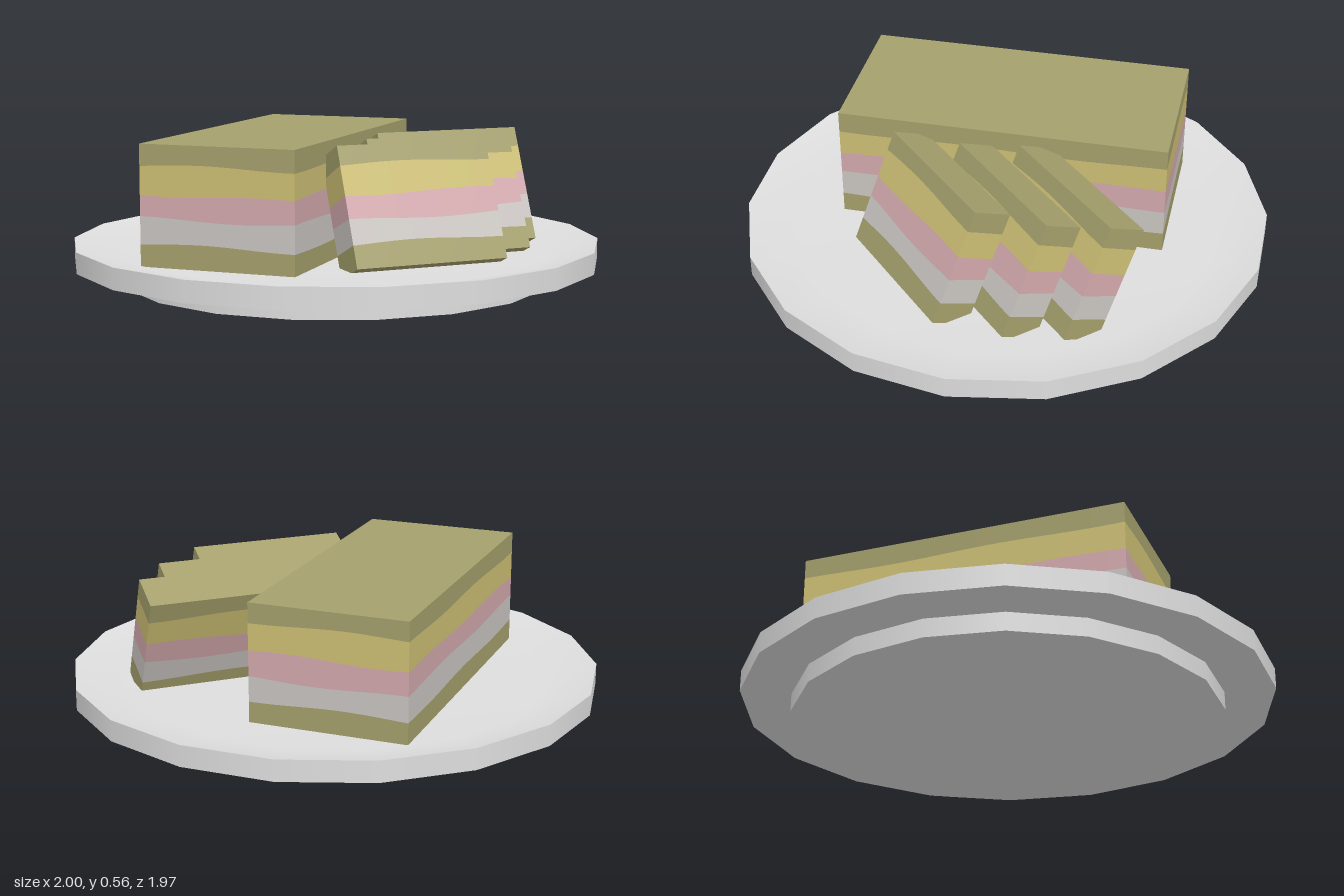
import * as THREE from 'three';

const material = (name, color) => {
  const m = new THREE.MeshStandardMaterial({ color });
  m.name = name;
  return m;
};

// Layer boundaries as fractions of the height, bottom to top
const LEVELS = [0, 0.19, 0.395, 0.6, 0.835, 1];
const LAYER_NAMES = ['bottomCrust', 'creamLayer', 'pinkLayer', 'yellowLayer', 'topCrust'];

// Gentle unevenness of the inner boundaries
const wave = (level, x, z) =>
  0.006 * Math.sin(9 * x + 2.1 * level) + 0.004 * Math.sin(8 * z + 1.7 * level);

// A block of stacked layers standing on y = 0, centred on x and z
function layeredBlock(name, width, height, depth, materials) {
  const block = new THREE.Group();
  block.name = name;
  const last = LAYER_NAMES.length - 1;
  LAYER_NAMES.forEach((layerName, i) => {
    const geometry = new THREE.BoxGeometry(width, 1, depth, 16, 1, 20);
    const p = geometry.attributes.position;
    for (let v = 0; v < p.count; v++) {
      const level = p.getY(v) > 0 ? i + 1 : i;
      const inner = level > 0 && level <= last;
      p.setY(v, LEVELS[level] * height + (inner ? wave(level, p.getX(v), p.getZ(v)) : 0));
    }
    // Keep the walls, and only the outer top and bottom faces
    const index = Array.from(geometry.index.array);
    const kept = geometry.groups
      .filter((g, side) => !(side === 2 && i < last) && !(side === 3 && i > 0))
      .flatMap((g) => index.slice(g.start, g.start + g.count));
    geometry.clearGroups();
    geometry.setIndex(kept);
    const mesh = new THREE.Mesh(geometry, materials[i]);
    mesh.name = layerName;
    block.add(mesh);
  });
  return block;
}

export function createModel() {
  const model = new THREE.Group();
  model.name = 'layerCakeOnPlate';

  const plateGrey = material('plateGrey', 0xdedede);
  const olive = material('oliveCrust', 0xa5a06c);
  const yellow = material('yellowFilling', 0xcdbf74);
  const pink = material('pinkFilling', 0xd3a9ad);
  const cream = material('creamFilling', 0xcac5c1);
  const layers = [olive, cream, pink, yellow, olive];

  // Plate: shallow dish on a narrower foot, one turned surface per smooth region
  const footRadius = 0.811;
  const plateSurfaces = {
    footBase: [[0, 0], [footRadius, 0]],
    footSide: [[footRadius, 0], [footRadius, 0.07]],
    plateUnderside: [[footRadius, 0.07], [1, 0.07]],
    plateRim: [[1, 0.07], [1, 0.15]],
    plateDish: [[1, 0.15], [0.81, 0.112], [0, 0.112]],
  };
  for (const [name, profile] of Object.entries(plateSurfaces)) {
    const points = profile.map(([r, y]) => new THREE.Vector2(r, y));
    const geometry = new THREE.LatheGeometry(points, 18);
    geometry.rotateY(Math.PI / 18);
    const mesh = new THREE.Mesh(geometry, plateGrey);
    mesh.name = name;
    model.add(mesh);
  }

  // Uncut loaf resting in the dish
  const loaf = layeredBlock('loaf', 0.595, 0.446, 1.245, layers);
  loaf.position.set(-0.215, 0.11, 0.006);
  model.add(loaf);

  // Cut slices leaning back, each pivoting on its lower front edge
  const thickness = 0.153;
  [[0.49, 0.32], [0.512, 0.065], [0.48, -0.152]].forEach(([x, z], i) => {
    const slice = layeredBlock(`slice${i + 1}`, 0.594, 0.453, thickness, layers);
    slice.children.forEach((layer) => { layer.position.z = -thickness / 2; });
    slice.position.set(x, 0.134, z);
    slice.rotation.set(-0.41, 0.76, 0, 'YXZ');
    model.add(slice);
  });

  return model;
}
